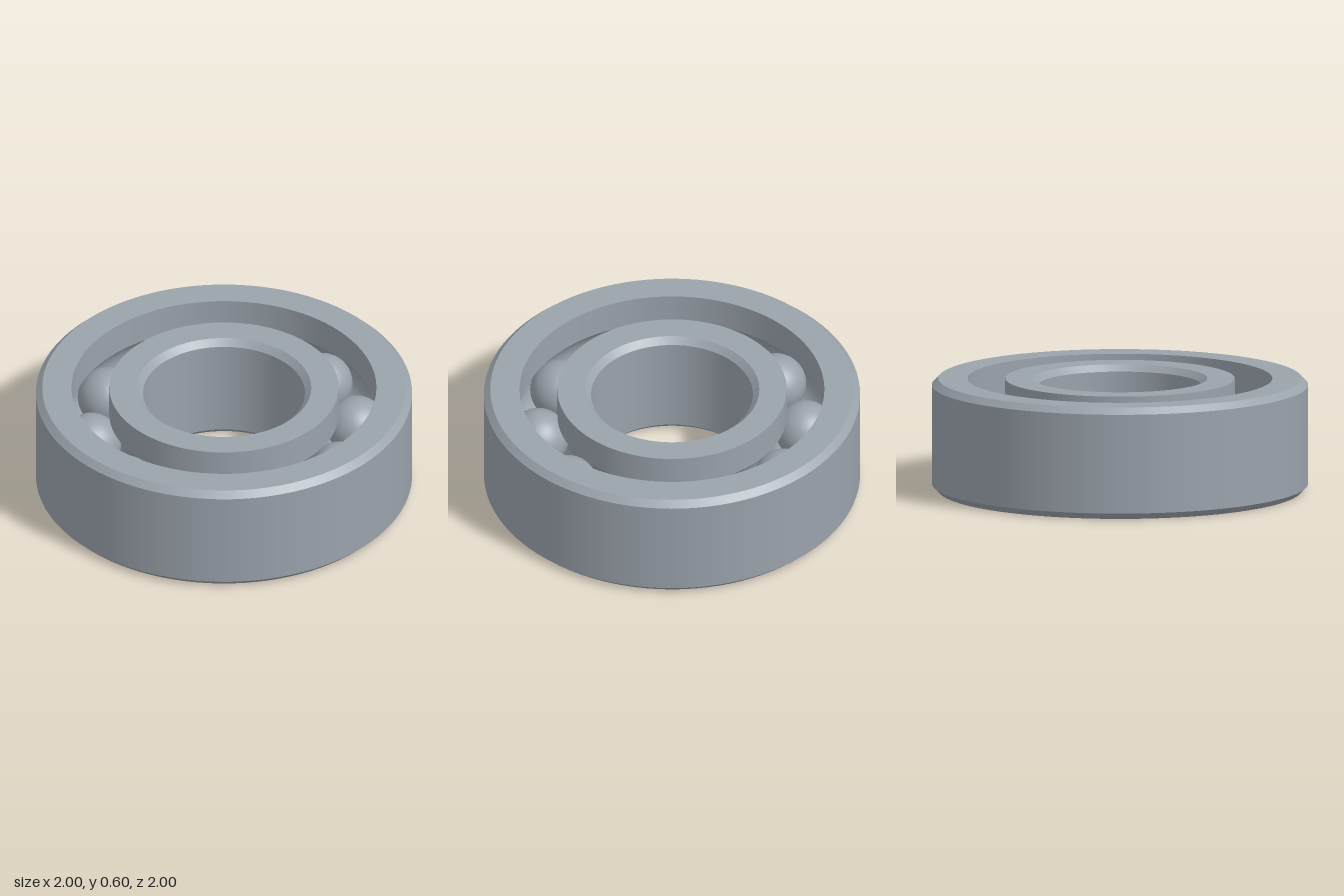
import * as THREE from 'three';
import { mergeGeometries } from 'three/addons/utils/BufferGeometryUtils.js';

const MID = 0.3, HEIGHT = 0.6, PITCH = 0.71, BALL = 0.16, GROOVE = 0.163;
const INNER_WALL = 0.61, OUTER_WALL = 0.81, BEVEL = 0.034;

// Each section is lathed separately so the edges between sections stay sharp.
function ring(name, sections, material) {
  const parts = sections.map(points =>
    new THREE.LatheGeometry(points.map(([r, y]) => new THREE.Vector2(r, y)), 96));
  const mesh = new THREE.Mesh(mergeGeometries(parts), material);
  mesh.name = name;
  return mesh;
}

// Joins corner points into a run of straight sections.
const straight = pts => pts.slice(1).map((p, i) => [pts[i], p]);

// Ball groove, as an arc cut into the wall on the given side (+1 outer, -1 inner).
function groove(side) {
  const half = Math.acos(0.1 / GROOVE), steps = 14, pts = [];
  for (let i = 0; i <= steps; i++) {
    const a = half - 2 * half * i / steps;
    pts.push([PITCH + side * GROOVE * Math.cos(a), MID + side * GROOVE * Math.sin(a)]);
  }
  return pts;
}

export function createModel() {
  const steel = new THREE.MeshStandardMaterial({ color: 0x9aa2ab });
  steel.name = 'steel';
  const model = new THREE.Group();
  model.name = 'ballBearing';

  // Outer ring: bevelled outside, grooved inside
  const outerGroove = groove(1);
  model.add(ring('outerRing', [
    ...straight([
      [OUTER_WALL, 0], [1 - BEVEL, 0], [1, BEVEL], [1, HEIGHT - BEVEL],
      [1 - BEVEL, HEIGHT], [OUTER_WALL, HEIGHT], outerGroove[0],
    ]),
    outerGroove,
    [outerGroove.at(-1), [OUTER_WALL, 0]],
  ], steel));

  // Inner ring: grooved outside, bevelled bore
  const innerGroove = groove(-1), bore = 0.43;
  model.add(ring('innerRing', [
    [[INNER_WALL, 0], innerGroove[0]],
    innerGroove,
    ...straight([
      innerGroove.at(-1), [INNER_WALL, HEIGHT], [bore + BEVEL, HEIGHT],
      [bore, HEIGHT - BEVEL], [bore, BEVEL], [bore + BEVEL, 0], [INNER_WALL, 0],
    ]),
  ], steel));

  // Ten balls evenly spaced in the race
  const balls = new THREE.Group();
  balls.name = 'balls';
  const ballGeometry = new THREE.SphereGeometry(BALL, 40, 24);
  for (let i = 0; i < 10; i++) {
    const a = THREE.MathUtils.degToRad(12 + 36 * i);
    const ball = new THREE.Mesh(ballGeometry, steel);
    ball.name = `ball${i + 1}`;
    ball.position.set(PITCH * Math.cos(a), MID, PITCH * Math.sin(a));
    balls.add(ball);
  }
  model.add(balls);
  return model;
}
